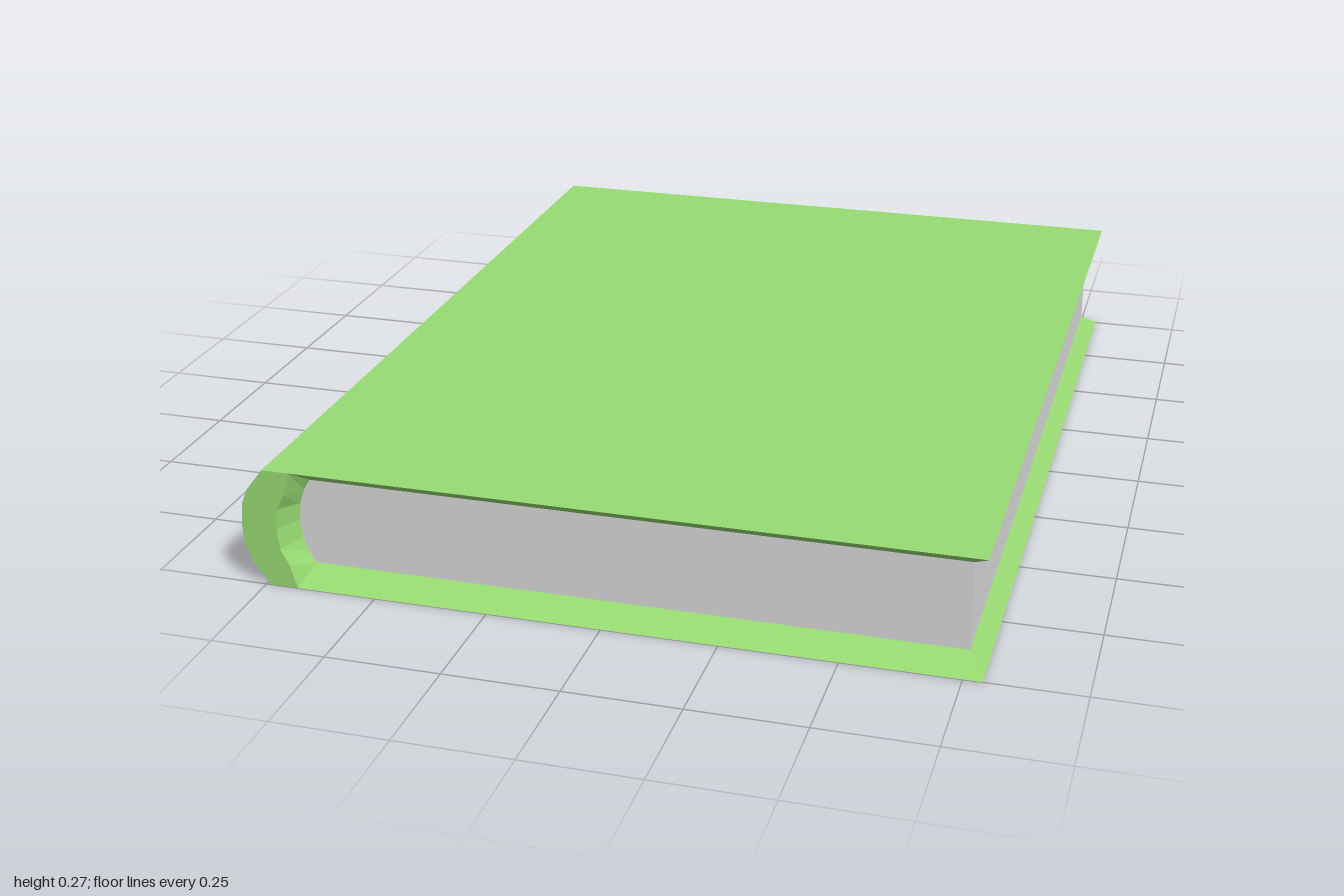
import * as THREE from 'three';

const HEIGHT = 0.27;

// Mirrors an upper half profile (ending on the middle line) to the lower half
const mirrorProfile = (half) => [
  ...half,
  ...half.slice(0, -1).reverse().map(([x, y]) => [x, HEIGHT - y]),
];

// Profiles run from the upper fore-edge, round the spine, to the lower fore-edge
const outer = mirrorProfile([[0.79, 0.27], [-0.738, 0.27], [-0.775, 0.222], [-0.79, 0.187], [-0.795, 0.135]]);
const rim = mirrorProfile([[0.79, 0.27], [-0.677, 0.27], [-0.692, 0.218], [-0.71, 0.182], [-0.715, 0.135]]);
const block = mirrorProfile([[0.755, 0.233], [-0.657, 0.233], [-0.672, 0.208], [-0.683, 0.175], [-0.687, 0.135]]);

function createCoverGeometry() {
  const positions = [];
  const quad = (a, b, c, d) => positions.push(...a, ...b, ...c, ...a, ...c, ...d);
  const at = (profile, z) => profile.map(([x, y]) => [x, y, z]);

  // Sections wrap from the back of the pages, over the outside, to the front
  const sections = [
    at(block, -0.945), at(rim, -1), at(outer, -1),
    at(outer, 1), at(rim, 1), at(block, 0.945),
  ];
  const last = outer.length - 1;
  for (let s = 0; s < sections.length - 1; s++) {
    const isCap = s === 1 || s === 3;
    for (let j = 0; j < last; j++) {
      if (isCap && (j === 0 || j === last - 1)) continue; // boards end in a sharp edge
      const a = sections[s], b = sections[s + 1];
      quad(a[j], a[j + 1], b[j + 1], b[j]);
    }
  }

  // Sloped inner faces of the boards along the fore-edge
  const [backBlock, backRim, , , frontRim, frontBlock] = sections;
  quad(frontRim[0], frontBlock[0], backBlock[0], backRim[0]);
  quad(backRim[last], backBlock[last], frontBlock[last], frontRim[last]);

  const geometry = new THREE.BufferGeometry();
  geometry.setAttribute('position', new THREE.Float32BufferAttribute(positions, 3));
  geometry.computeVertexNormals();
  return geometry;
}

export function createModel() {
  const coverGreen = new THREE.MeshStandardMaterial({ name: 'coverGreen', color: 0x98db72, flatShading: true });
  const paperGrey = new THREE.MeshStandardMaterial({ name: 'paperGrey', color: 0xdadada, flatShading: true });

  const book = new THREE.Group();
  book.name = 'book';

  // Boards and rounded spine in one shell
  const cover = new THREE.Mesh(createCoverGeometry(), coverGreen);
  cover.name = 'cover';

  // Page block
  const shape = new THREE.Shape(block.map(([x, y]) => new THREE.Vector2(x, y)));
  const pages = new THREE.Mesh(
    new THREE.ExtrudeGeometry(shape, { depth: 1.89, bevelEnabled: false }).translate(0, 0, -0.945),
    paperGrey,
  );
  pages.name = 'pages';

  book.add(cover, pages);
  return book;
}
